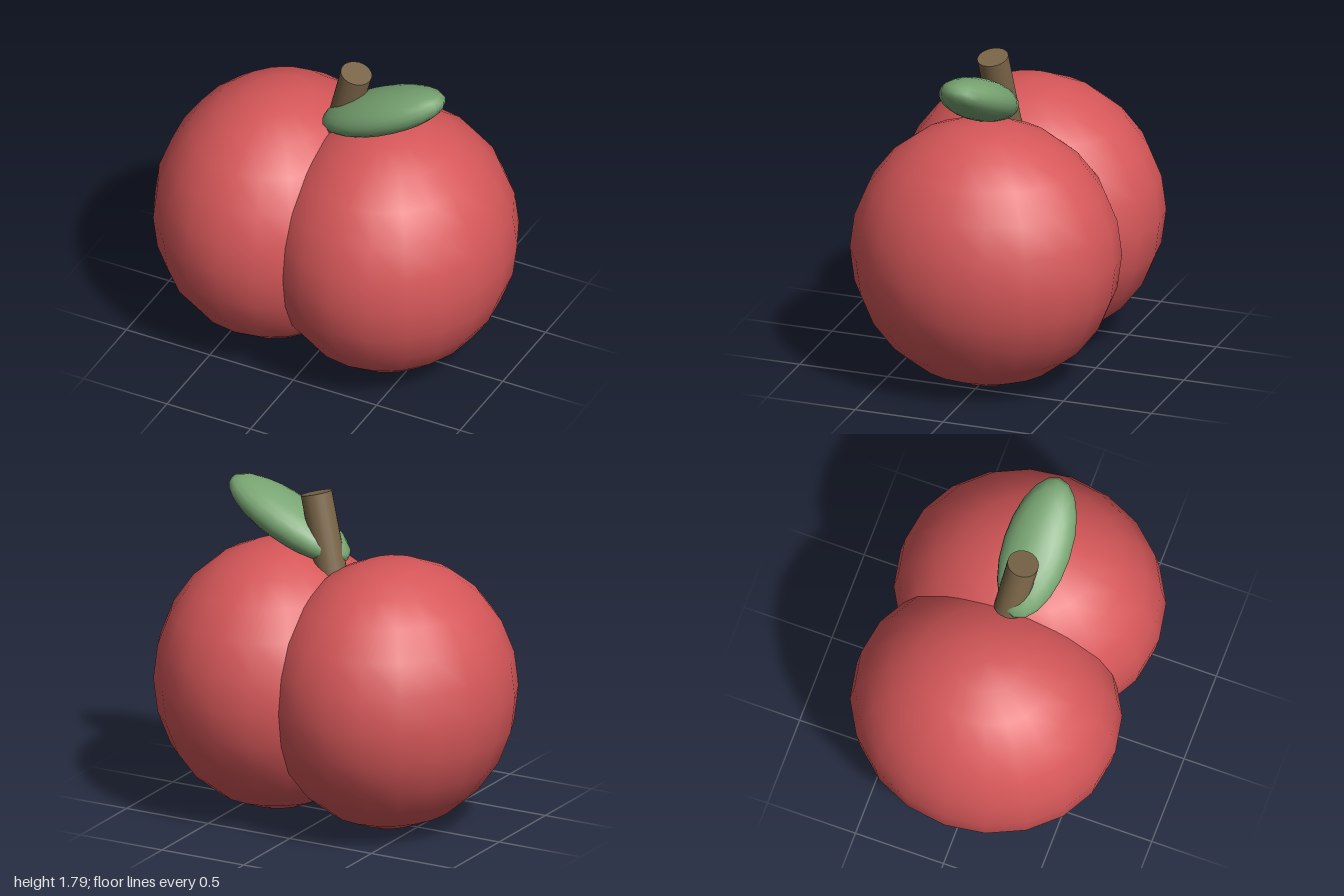
import * as THREE from 'three';

function material(name, color) {
  const m = new THREE.MeshStandardMaterial({ color });
  m.name = name;
  return m;
}

export function createModel() {
  const group = new THREE.Group();
  group.name = 'fruit';
  const red = material('red skin', 0xd65759);
  const green = material('leaf green', 0x78a472);
  const brown = material('stem brown', 0x7a6548);

  const add = (name, geometry, mat, position) => {
    const mesh = new THREE.Mesh(geometry, mat);
    mesh.name = name;
    mesh.position.set(...position);
    group.add(mesh);
    return mesh;
  };

  // Two overlapping lobes, slightly narrowed sideways
  const lobe = new THREE.SphereGeometry(0.735, 20, 12);
  for (const [name, side] of [['leftLobe', 1], ['rightLobe', -1]]) {
    add(name, lobe, red, [side * 0.34, 0.735, 0]).scale.x = 0.9;
  }

  // Leaning stem, its foot sunk into the cleft
  const top = new THREE.Vector3(0.14, 1.767, 0.035);
  const axis = new THREE.Vector3(0.268, 1, 0.085).normalize();
  const length = 0.5;
  const centre = top.clone().addScaledVector(axis, -length / 2);
  const stem = add('stem', new THREE.CylinderGeometry(0.085, 0.085, length, 20), brown, centre.toArray());
  stem.quaternion.setFromUnitVectors(new THREE.Vector3(0, 1, 0), axis);

  // Plump leaf rising to the left of the stem
  const leaf = add('leaf', new THREE.SphereGeometry(1, 20, 12), green, [0.3125, 1.588, 0.05]);
  leaf.scale.set(0.396, 0.115, 0.186);
  leaf.rotation.z = 0.45;

  return group;
}
